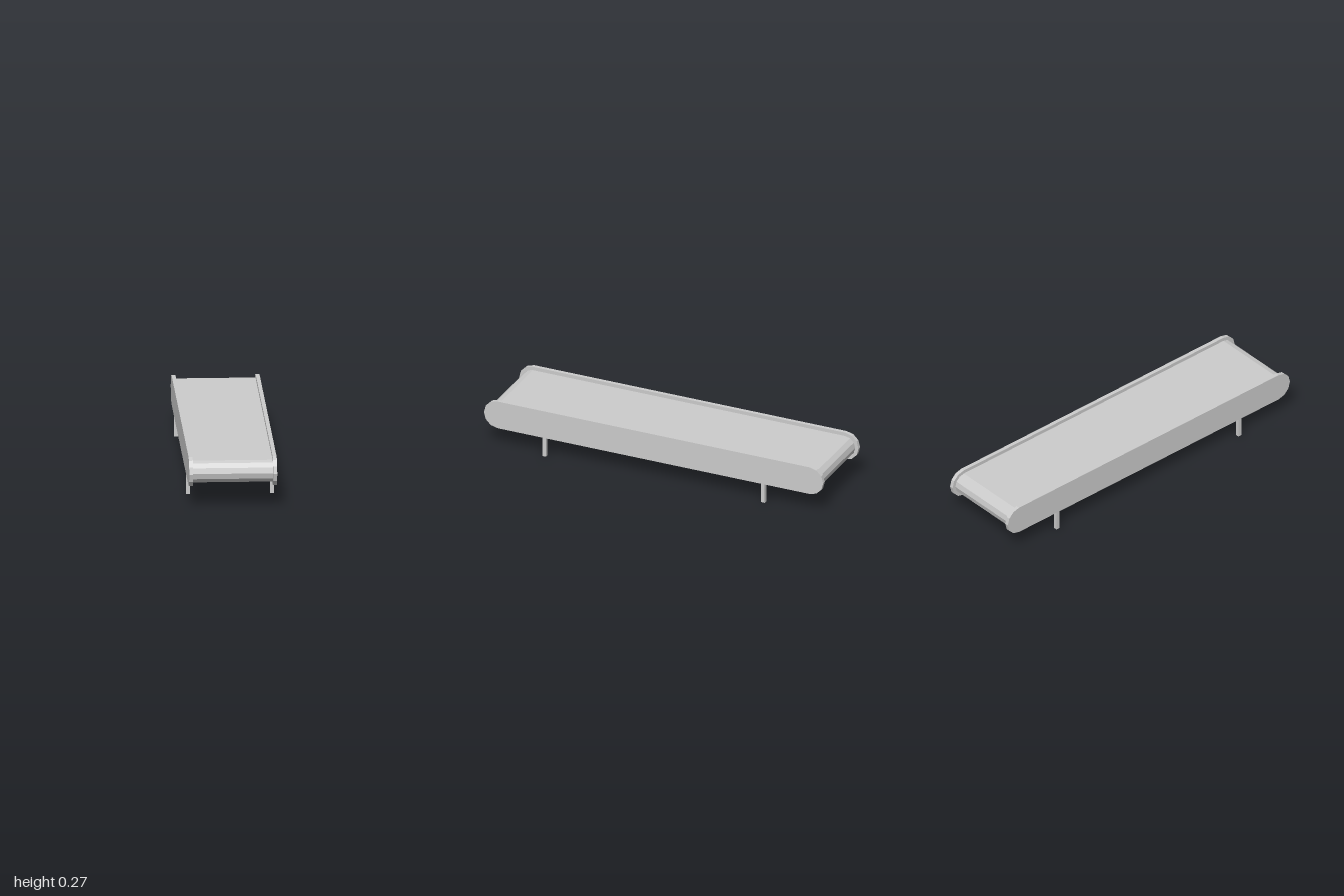
import * as THREE from 'three';

const AXIS_Y = 0.19; // height of the belt centre line
const HALF_RUN = 0.92; // distance from the middle to each end curve

// Slab with rounded ends along z, extruded across x and centred
function roundedSlab(radius, width) {
  const shape = new THREE.Shape();
  shape.absarc(HALF_RUN, 0, radius, -Math.PI / 2, Math.PI / 2, false);
  shape.absarc(-HALF_RUN, 0, radius, Math.PI / 2, Math.PI * 1.5, false);
  shape.closePath();
  const geometry = new THREE.ExtrudeGeometry(shape, {
    depth: width, bevelEnabled: false, curveSegments: 3, // six facets per end
  });
  return geometry.translate(0, 0, -width / 2).rotateY(-Math.PI / 2);
}

export function createModel() {
  const model = new THREE.Group();
  model.name = 'conveyor';
  const material = new THREE.MeshStandardMaterial({ color: 0xcccccc, flatShading: true });

  function add(name, geometry, x, y, z) {
    const mesh = new THREE.Mesh(geometry, material);
    mesh.name = name;
    mesh.position.set(x, y, z);
    model.add(mesh);
  }

  // Belt between the side plates
  add('belt', roundedSlab(0.06, 0.43), 0, AXIS_Y, 0);

  // Side plates, each standing on two legs
  const plate = roundedSlab(0.08, 0.021);
  const leg = new THREE.BoxGeometry(0.021, 0.11, 0.021);
  for (const [side, sx] of [['left', 1], ['right', -1]]) {
    add(side + 'SidePlate', plate, sx * 0.225, AXIS_Y, 0);
    for (const [end, sz] of [['Front', 1], ['Back', -1]]) {
      add(side + end + 'Leg', leg, sx * 0.225, 0.055, sz * 0.645);
    }
  }
  return model;
}
